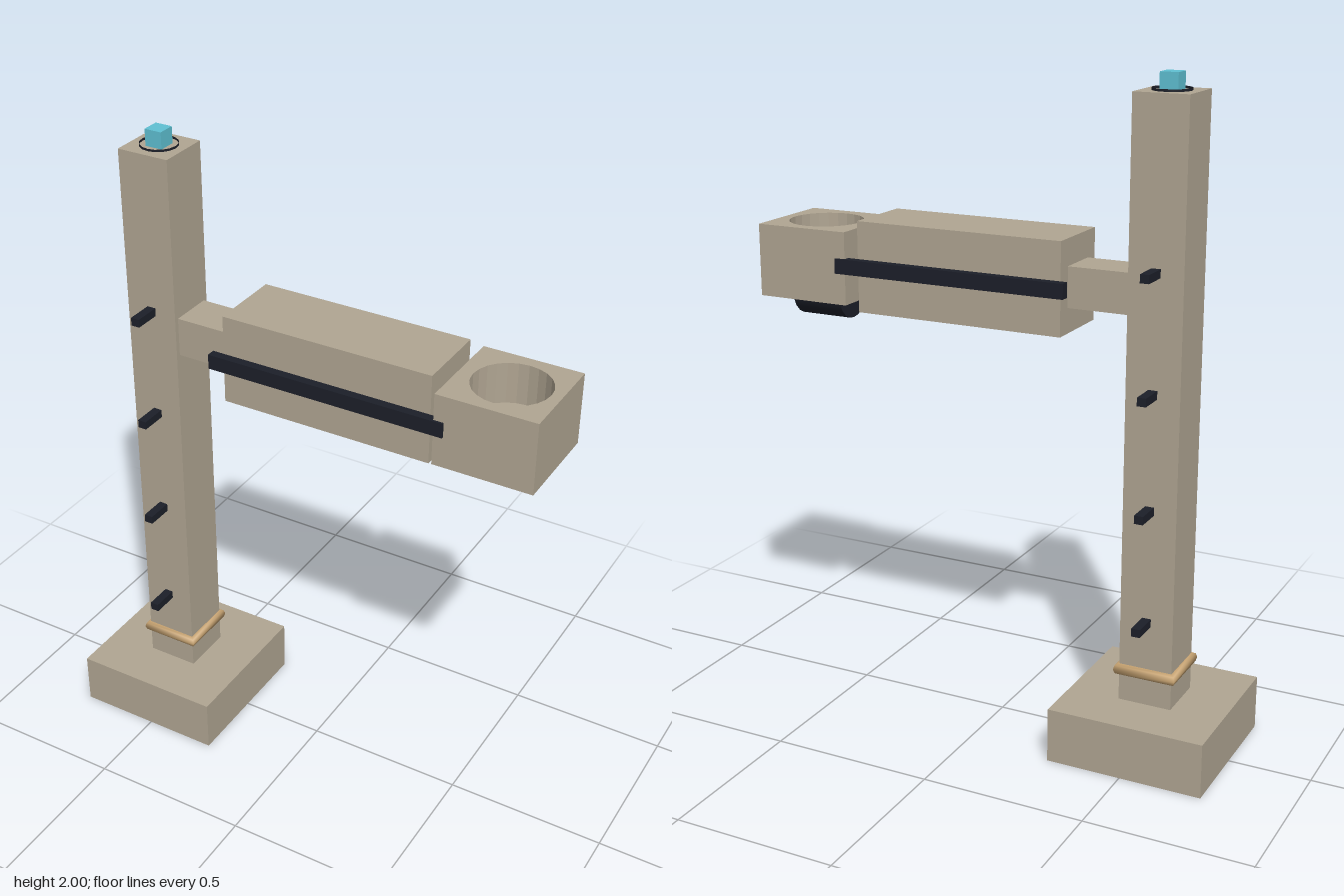
import * as THREE from 'three';

export function createModel() {
  const model = new THREE.Group();
  const mat = (name, color, extra = {}) => {
    const m = new THREE.MeshStandardMaterial({ color, ...extra });
    m.name = name;
    return m;
  };
  const stone = mat('warm grey', 0xb0a592);
  const dark = mat('near black', 0x1c1f29, { side: THREE.DoubleSide });
  const brass = mat('brass', 0xc8a472);
  const cyan = mat('cyan', 0x5fc0d2);

  const add = (name, geometry, material, x = 0, y = 0, z = 0) => {
    const mesh = new THREE.Mesh(geometry, material);
    mesh.name = name;
    mesh.position.set(x, y, z);
    model.add(mesh);
    return mesh;
  };
  // Box given by its x and y limits, depth and centre z
  const box = (name, material, x0, x1, y0, y1, depth, z = 0) =>
    add(name, new THREE.BoxGeometry(x1 - x0, y1 - y0, depth), material, (x0 + x1) / 2, (y0 + y1) / 2, z);

  const mastX = -0.51;

  // Base and mast
  box('base', stone, -0.75, -0.27, 0, 0.167, 0.48);
  box('mast', stone, mastX - 0.082, mastX + 0.082, 0.16, 1.95, 0.164);

  // Square collar around the mast
  const collar = new THREE.TorusGeometry(0.118, 0.018, 8, 4);
  collar.rotateZ(Math.PI / 4).rotateX(Math.PI / 2);
  add('collar', collar, brass, mastX, 0.265, 0);

  // Climbing rungs through the mast
  for (let i = 0; i < 4; i++) {
    add('rung', new THREE.BoxGeometry(0.027, 0.025, 0.33), dark, mastX, 0.43 + i * 0.345, 0);
  }

  // Beacon on the mast top with a thin open rim
  add('beaconRim', new THREE.CylinderGeometry(0.056, 0.056, 0.008, 16, 1, true), dark, mastX, 1.953, 0);
  box('beacon', cyan, mastX - 0.027, mastX + 0.027, 1.95, 2, 0.054);

  // Arm: inner beam, housing and side rails
  box('armBeam', stone, -0.44, 0.45, 1.335, 1.455, 0.135);
  box('armHousing', stone, -0.24, 0.42, 1.26, 1.535, 0.232);
  for (const side of [-1, 1]) {
    box('sideRail', dark, -0.266, 0.476, 1.38, 1.425, 0.027, side * 0.1435);
  }

  // Head with a round well in its top
  const headX = 0.595, wellFloor = 1.38, headTop = 1.505;
  box('headLower', stone, 0.445, 0.745, 1.285, wellFloor, 0.3);
  const outline = new THREE.Shape([[-0.15, -0.15], [0.15, -0.15], [0.15, 0.15], [-0.15, 0.15]]
    .map(([x, y]) => new THREE.Vector2(x, y)));
  const well = new THREE.Path();
  well.absarc(0.005, 0, 0.114, 0, Math.PI * 2, true);
  outline.holes.push(well);
  const upper = new THREE.ExtrudeGeometry(outline, { depth: headTop - wellFloor, bevelEnabled: false, curveSegments: 12 });
  upper.rotateX(-Math.PI / 2);
  add('headUpper', upper, stone, headX, wellFloor, 0);

  // Lens drum lying across the underside of the head
  const drum = new THREE.CylinderGeometry(0.08, 0.08, 0.166, 20);
  drum.rotateZ(Math.PI / 2);
  add('lensDrum', drum, dark, headX, 1.289, 0);

  return model;
}
